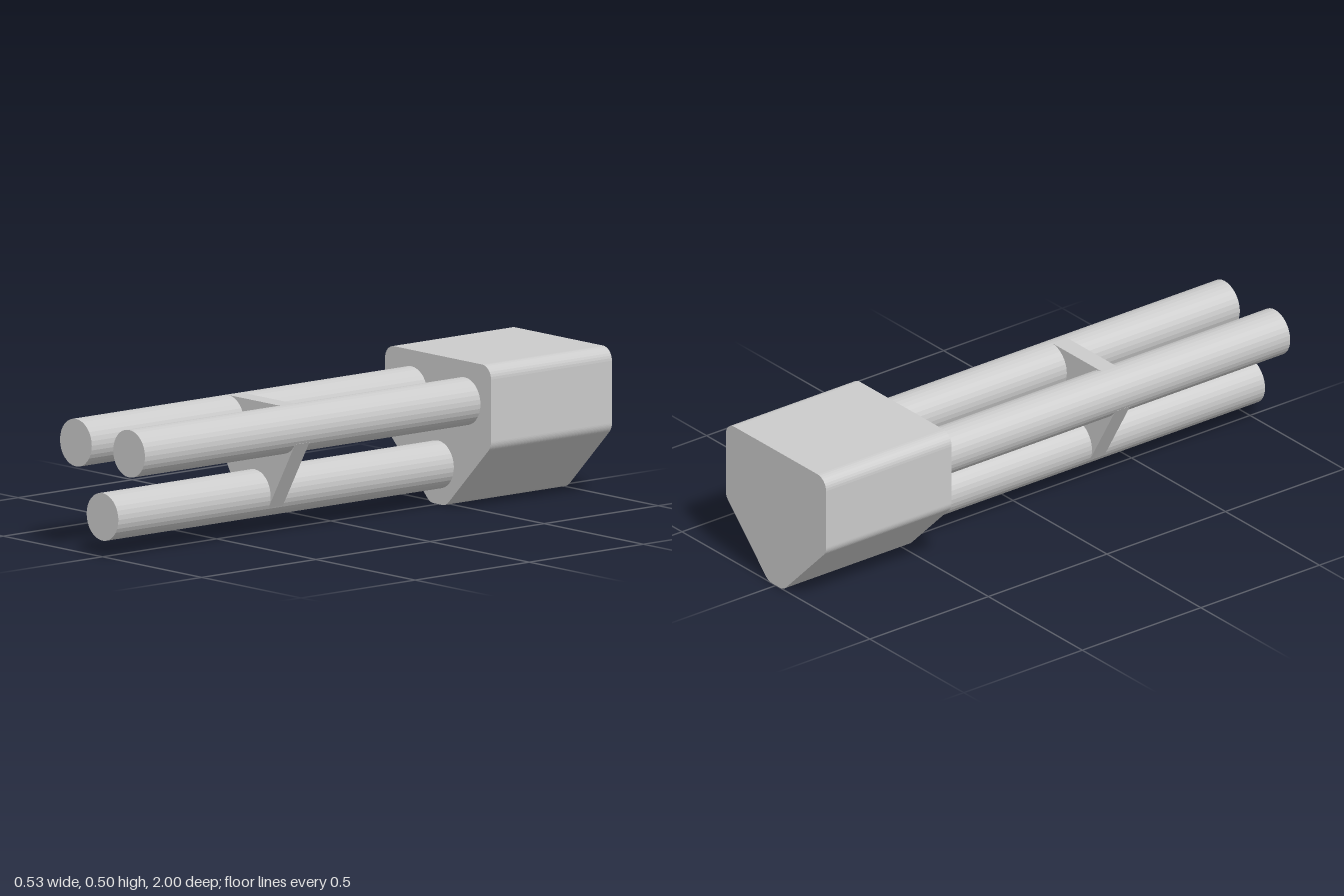
import * as THREE from 'three';

const TUBE_RADIUS = 0.08;
const TUBE_CENTRES = [[-0.134, 0.365], [0.134, 0.365], [0, 0.134]];

// Closed polygon whose corners are rounded with a common radius
function roundedPolygon(corners, radius) {
  const points = corners.map(([x, y]) => new THREE.Vector2(x, y));
  const n = points.length;
  const outline = [];
  points.forEach((corner, i) => {
    const toPrev = points[(i + n - 1) % n].clone().sub(corner).normalize();
    const toNext = points[(i + 1) % n].clone().sub(corner).normalize();
    const half = Math.acos(toPrev.dot(toNext)) / 2;
    const centre = toPrev.clone().add(toNext).normalize()
      .multiplyScalar(radius / Math.sin(half)).add(corner);
    const start = toPrev.multiplyScalar(radius / Math.tan(half)).add(corner).sub(centre);
    const steps = 8;
    for (let s = 0; s <= steps; s++) {
      // corners run counter-clockwise
      const angle = (s / steps) * (Math.PI - 2 * half);
      outline.push(start.clone().rotateAround(new THREE.Vector2(), angle).add(centre));
    }
  });
  return new THREE.Shape(outline);
}

// Prism along z between two depths
function prism(shape, zBack, zFront) {
  return new THREE.ExtrudeGeometry(shape, { depth: zFront - zBack, bevelEnabled: false })
    .translate(0, 0, zBack);
}

export function createModel() {
  const model = new THREE.Group();
  const material = new THREE.MeshStandardMaterial({ color: 0xcccccc });
  const facetedMaterial = new THREE.MeshStandardMaterial({ color: 0xcccccc, flatShading: true });
  const add = (name, geometry, mat = material) => {
    const mesh = new THREE.Mesh(geometry, mat);
    mesh.name = name;
    model.add(mesh);
    return mesh;
  };

  // Rear housing: five-sided block tapering to a narrow flat base
  const housing = roundedPolygon([
    [0.04, 0], [0.267, 0.227], [0.267, 0.5], [-0.267, 0.5], [-0.267, 0.227], [-0.04, 0],
  ], 0.045);
  add('housing', prism(housing, -1, -0.47));

  // Three tubes running forward from the housing
  const tube = new THREE.CylinderGeometry(TUBE_RADIUS, TUBE_RADIUS, 1.48, 32).rotateX(Math.PI / 2);
  ['rightTube', 'leftTube', 'lowerTube'].forEach((name, i) => {
    add(name, tube, facetedMaterial).position.set(...TUBE_CENTRES[i], 0.26);
  });

  // Spacer plate: its edges are the common tangents of the tubes
  const tangentAngles = [[90, 210], [-30, 90], [210, 330]];
  const order = [1, 0, 2];
  const corners = order.flatMap((i) => tangentAngles[i].map((degrees) => {
    const a = THREE.MathUtils.degToRad(degrees);
    const [x, y] = TUBE_CENTRES[i];
    return new THREE.Vector2(x + TUBE_RADIUS * Math.cos(a), y + TUBE_RADIUS * Math.sin(a));
  }));
  add('spacerPlate', prism(new THREE.Shape(corners), 0.27, 0.333));

  return model;
}
